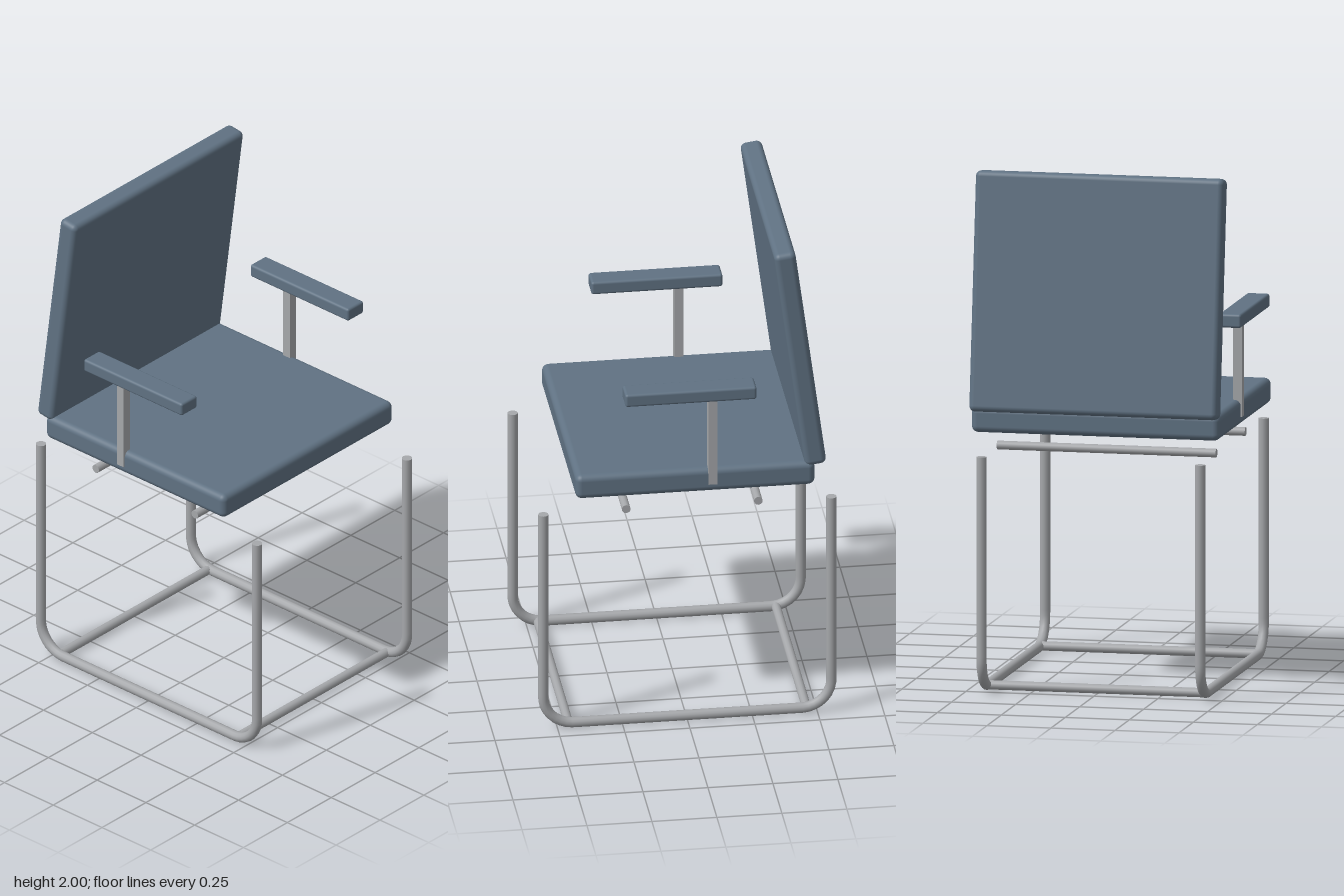
import * as THREE from 'three';
import { RoundedBoxGeometry } from 'three/addons/geometries/RoundedBoxGeometry.js';

const fabric = new THREE.MeshStandardMaterial({ name: 'slate upholstery', color: 0x607283 });
const metal = new THREE.MeshStandardMaterial({ name: 'steel grey', color: 0xa6a8ab });

function add(parent, name, geometry, material, x, y, z) {
  const mesh = new THREE.Mesh(geometry, material);
  mesh.name = name;
  mesh.position.set(x, y, z);
  parent.add(mesh);
  return mesh;
}

const pad = (w, h, d, r) => new RoundedBoxGeometry(w, h, d, 4, r);
const rod = (r, length) => new THREE.CylinderGeometry(r, r, length, 12).rotateZ(Math.PI / 2);

// U-shaped runner: two uprights joined by a floor rail with rounded corners
function runnerPath() {
  const z = 0.554, y = 0.022, bend = 0.115, k = bend * 0.448;
  const v = (py, pz) => new THREE.Vector3(0, py, pz);
  const path = new THREE.CurvePath();
  path.add(new THREE.LineCurve3(v(0.92, z), v(y + bend, z)));
  path.add(new THREE.CubicBezierCurve3(v(y + bend, z), v(y + k, z), v(y, z - k), v(y, z - bend)));
  path.add(new THREE.LineCurve3(v(y, z - bend), v(y, bend - z)));
  path.add(new THREE.CubicBezierCurve3(v(y, bend - z), v(y, k - z), v(y + k, -z), v(y + bend, -z)));
  path.add(new THREE.LineCurve3(v(y + bend, -z), v(0.92, -z)));
  return path;
}

export function createModel() {
  const chair = new THREE.Group();
  chair.name = 'armchair';

  // Cushions
  add(chair, 'seat', pad(0.97, 0.1, 0.92, 0.025), fabric, 0, 1.05, -0.024);
  const back = add(chair, 'backrest', pad(0.97, 0.92, 0.083, 0.022), fabric, 0, 1.54, -0.428);
  back.rotation.x = 0.132;

  // Mirrored arms and runners
  const runner = new THREE.TubeGeometry(runnerPath(), 120, 0.02, 12, false);
  const cap = new THREE.CircleGeometry(0.02, 12).rotateX(-Math.PI / 2);
  for (const [side, s] of [['left', 1], ['right', -1]]) {
    add(chair, side + 'Armrest', pad(0.09, 0.053, 0.505, 0.01), fabric, s * 0.474, 1.428, -0.002);
    add(chair, side + 'ArmPost', new THREE.BoxGeometry(0.035, 0.37, 0.035), metal, s * 0.473, 1.22, -0.09);
    add(chair, side + 'Runner', runner, metal, s * 0.427, 0, 0);
    for (const z of [0.554, -0.554]) add(chair, side + 'LegCap', cap, metal, s * 0.427, 0.92, z);
  }

  // Cross rods: a pair under the seat and a pair at floor level
  for (const z of [0.235, -0.273]) add(chair, 'seatRod', rod(0.017, 0.855), metal, 0, 0.92, z);
  for (const z of [0.458, -0.458]) add(chair, 'floorRod', rod(0.018, 0.85), metal, 0, 0.024, z);

  return chair;
}
